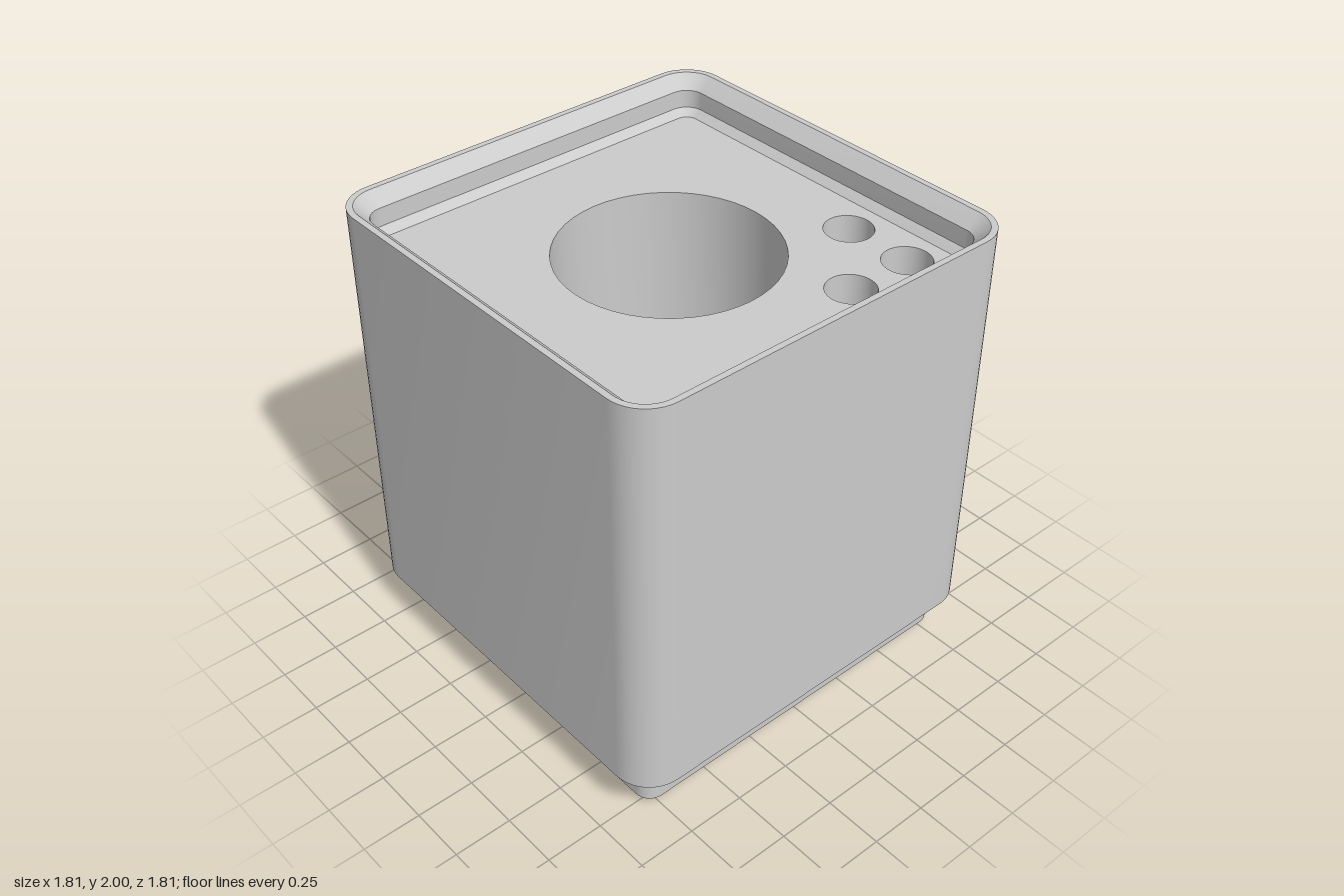
import * as THREE from 'three';
import { toCreasedNormals } from 'three/addons/utils/BufferGeometryUtils.js';

const CORNER_STEPS = 10;
const FLOOR_Y = 1.834;

// Points of a rounded square, as Vector2, running from +x towards the second axis
function roundedSquare(half, radius) {
  const points = [];
  for (let corner = 0; corner < 4; corner++) {
    const mid = Math.PI / 4 + corner * Math.PI / 2;
    const cx = Math.sign(Math.cos(mid)) * (half - radius);
    const cy = Math.sign(Math.sin(mid)) * (half - radius);
    for (let i = 0; i <= CORNER_STEPS; i++) {
      const a = (corner + i / CORNER_STEPS) * Math.PI / 2;
      points.push(new THREE.Vector2(cx + radius * Math.cos(a), cy + radius * Math.sin(a)));
    }
  }
  return points;
}

// Skin through rounded squares given as [half width, corner radius, height]
function loft(sections) {
  const positions = [], index = [];
  const n = 4 * (CORNER_STEPS + 1);
  for (const [half, radius, y] of sections) {
    for (const p of roundedSquare(half, radius)) positions.push(p.x, y, p.y);
  }
  for (let s = 0; s < sections.length - 1; s++) {
    for (let i = 0; i < n; i++) {
      const a = s * n + i, b = s * n + (i + 1) % n;
      index.push(a, a + n, b, b, a + n, b + n);
    }
  }
  const geometry = new THREE.BufferGeometry();
  geometry.setAttribute('position', new THREE.Float32BufferAttribute(positions, 3));
  geometry.setIndex(index);
  return toCreasedNormals(geometry, 0.5);
}

// Flat rounded square with round holes given as [x, z, radius]
function plate(half, radius, holes, y, facing) {
  const shape = new THREE.Shape(roundedSquare(half, radius));
  for (const [x, z, r] of holes) {
    shape.holes.push(new THREE.Path().absarc(x, -facing * z, r, 0, Math.PI * 2, true));
  }
  return new THREE.ShapeGeometry(shape, 24).rotateX(-facing * Math.PI / 2).translate(0, y, 0);
}

// Inside of a turned pocket, profile listed from high to low as [radius, y]
function pocket(profile, segments = 48) {
  const points = profile.map(([r, y]) => new THREE.Vector2(r, y));
  return toCreasedNormals(new THREE.LatheGeometry(points, segments), 0.5);
}

export function createModel() {
  const group = new THREE.Group();
  const material = new THREE.MeshStandardMaterial({ color: 0xcccccc });
  const add = (name, geometry, x = 0, z = 0) => {
    const mesh = new THREE.Mesh(geometry, material);
    mesh.name = name;
    mesh.position.set(x, 0, z);
    group.add(mesh);
  };

  // Stepped foot, straight walls and stacking lip in one skin
  add('shell', loft([
    [0.777, 0.035, 0],
    [0.812, 0.07, 0.035],
    [0.812, 0.07, 0.114],
    [0.906, 0.164, 0.208],
    [0.906, 0.164, 2],
    [0.88, 0.138, 2],
    [0.823, 0.081, 1.943],
    [0.823, 0.081, 1.865],
    [0.792, 0.05, FLOOR_Y],
  ]));

  // Recessed top face with the large pocket and three small ones
  const smallHoles = [[0.635, 0.325, 0.1], [0.335, 0.63, 0.1], [0.635, 0.63, 0.1]];
  add('topFace', plate(0.792, 0.05, [[0, 0, 0.45], ...smallHoles], FLOOR_Y, 1));
  add('centrePocket', pocket([
    [0.45, FLOOR_Y], [0.45, 1.2], [0.22, 0.85], [0.165, 0.85], [0.095, 0.35], [0, 0.35],
  ]));
  for (const [x, z, r] of smallHoles) {
    add('smallPocket', pocket([[r, FLOOR_Y], [r, 1.3], [0, 1.3]]), x, z);
  }

  // Underside with a round recess near each corner
  const footHoles = [];
  for (const x of [-0.566, 0.566]) for (const z of [-0.566, 0.566]) footHoles.push([x, z, 0.132]);
  add('underside', plate(0.777, 0.035, footHoles, 0, -1));
  for (const [x, z, r] of footHoles) {
    add('footRecess', pocket([[0, 0.105], [r, 0.105], [r, 0]]), x, z);
  }

  return group;
}
